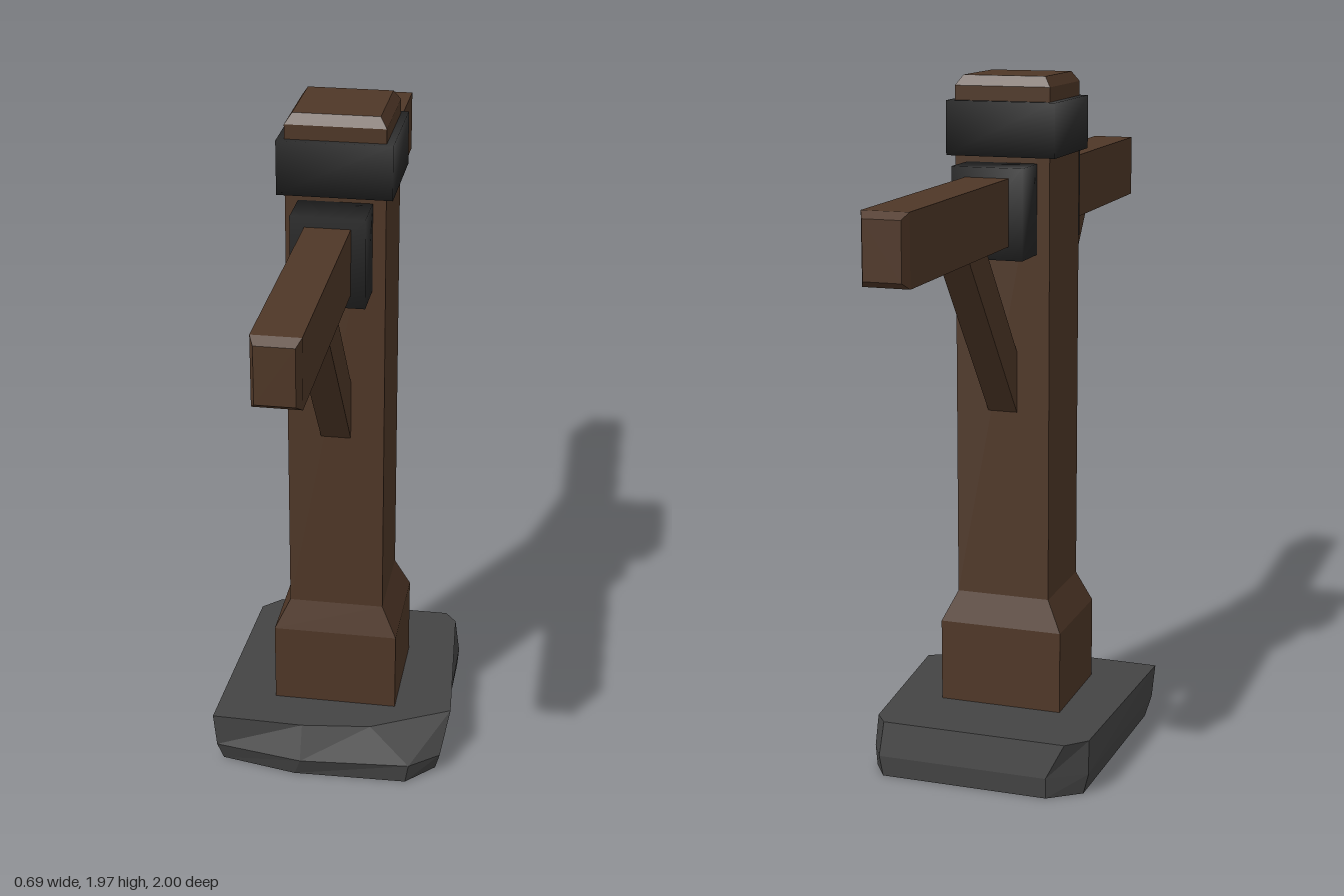
import * as THREE from 'three';

const wood = new THREE.MeshStandardMaterial({ color: 0x4f3727, flatShading: true, side: THREE.DoubleSide });
const stone = new THREE.MeshStandardMaterial({ color: 0x444444, flatShading: true, side: THREE.DoubleSide });
const iron = new THREE.MeshStandardMaterial({ color: 0x272727 });

// Skins a stack of rings, bottom to top; each ring is a list of [x, y, z] corners.
function loft(rings, { bottom = true, smooth = false } = {}) {
  const n = rings[0].length, last = (rings.length - 1) * n, index = [];
  for (let r = 0; r < rings.length - 1; r++) {
    for (let i = 0; i < n; i++) {
      const a = r * n + i, b = r * n + (i + 1) % n;
      index.push(a, b, b + n, a, b + n, a + n);
    }
  }
  for (let i = 1; i < n - 1; i++) {
    index.push(last, last + i, last + i + 1);
    if (bottom) index.push(0, i + 1, i);
  }
  let geo = new THREE.BufferGeometry();
  geo.setAttribute('position', new THREE.Float32BufferAttribute(rings.flat(2), 3));
  geo.setIndex(index);
  if (!smooth) geo = geo.toNonIndexed();
  geo.computeVertexNormals();
  return geo;
}

// Rectangular ring at height y with half sizes w (x) and d (z).
const rect = (y, w, d) => [[-w, y, d], [w, y, d], [w, y, -d], [-w, y, -d]];

export function createModel() {
  const model = new THREE.Group();
  const add = (name, geo, mat, x = 0, y = 0, z = 0) => {
    const mesh = new THREE.Mesh(geo, mat);
    mesh.name = name;
    mesh.position.set(x, y, z);
    model.add(mesh);
    return mesh;
  };
  const cx = -0.004, cz = 0.003;

  // Rough stone footing, open underneath
  const footing = [
    [0, [[-.325, .28], [-.1, .325], [.23, .315], [.31, .23], [.315, -.33], [.27, -.397], [-.22, -.397], [-.31, -.33]]],
    [0.06, [[-.34, .3], [-.08, .345], [.24, .32], [.325, .25], [.32, -.33], [.28, -.4], [-.22, -.4], [-.325, -.33]]],
    [0.16, [[-.35, .3], [-.08, .305], [.12, .28], [.345, .16], [.305, -.34], [.27, -.385], [-.27, -.385], [-.325, -.33]]],
  ].map(([y, points]) => points.map(([x, z]) => [x, y, z]));
  add('stoneFooting', loft(footing, { bottom: false }), stone);

  // Post with a flared foot and chamfered top
  add('post', loft([
    rect(0.01, 0.181, 0.162), rect(0.4, 0.181, 0.162), rect(0.49, 0.137, 0.137),
    rect(1.945, 0.137, 0.137), rect(1.973, 0.118, 0.119),
  ], { bottom: false }), wood, cx, 0, cz);

  // Crossbeam with chamfered ends, turned to run along z
  const beam = loft([
    rect(-1, 0.05, 0.075), rect(-0.975, 0.062, 0.092),
    rect(0.975, 0.062, 0.092), rect(1, 0.05, 0.075),
  ]);
  add('crossbeam', beam.rotateX(Math.PI / 2), wood, cx, 1.618, 0);

  // Iron band around the post head
  add('postBand', loft([rect(1.755, 0.157, 0.155), rect(1.905, 0.157, 0.155)], { smooth: true }), iron, cx, 0, cz);

  // Diagonal brace profile: x is the distance from the post axis
  const brace = new THREE.Shape([[0.1, 0.99], [0.525, 1.527], [0.385, 1.527], [0.1, 1.165]]
    .map(([x, y]) => new THREE.Vector2(x, y)));
  const braceGeo = new THREE.ExtrudeGeometry(brace, { depth: 0.085, bevelEnabled: false });
  braceGeo.translate(0, 0, -0.0425);

  // Iron sleeve and brace on each arm
  for (const [side, s] of [['front', 1], ['back', -1]]) {
    const sleeve = loft([rect(-0.125, 0.101, 0.065), rect(0.125, 0.101, 0.065)], { smooth: true });
    add(side + 'Sleeve', sleeve, iron, cx, 1.613, cz + s * 0.2);
    // cut the foot of the brace flush inside the post
    add(side + 'Brace', braceGeo, wood, cx, 0, cz).rotation.y = -s * Math.PI / 2;
  }
  return model;
}
